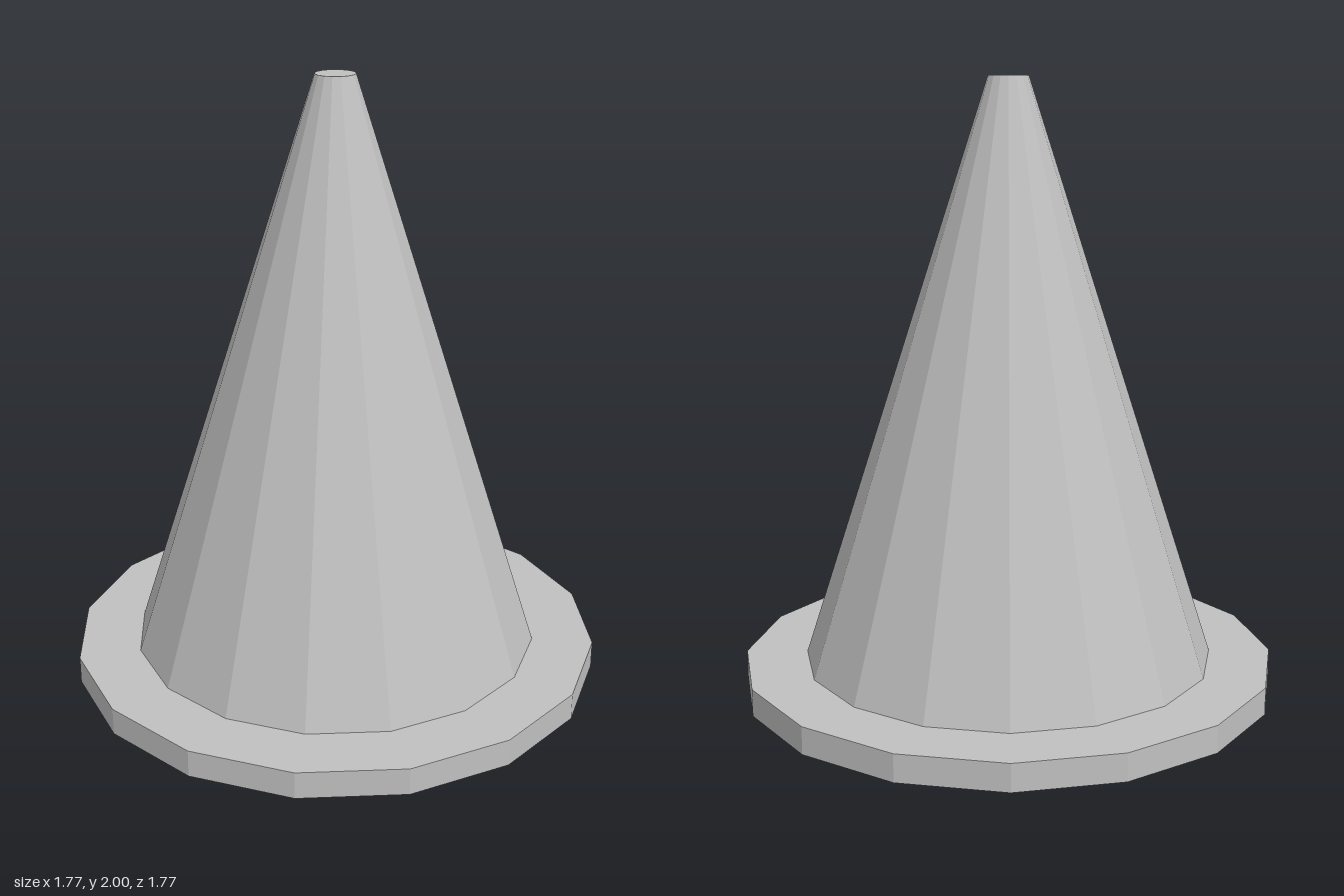
import * as THREE from 'three';

const SIDES = 16;
const BASE_HEIGHT = 0.09;
const TOTAL_HEIGHT = 2;

export function createModel() {
  const group = new THREE.Group();
  group.name = 'trafficCone';

  const grey = new THREE.MeshStandardMaterial({ color: 0xc0c0c0, flatShading: true });
  grey.name = 'plain grey';

  // Adds a tapered 16-sided section standing between two heights
  const addSection = (name, topRadius, bottomRadius, y0, y1) => {
    const geometry = new THREE.CylinderGeometry(topRadius, bottomRadius, y1 - y0, SIDES);
    const mesh = new THREE.Mesh(geometry, grey);
    mesh.name = name;
    mesh.position.y = (y0 + y1) / 2;
    group.add(mesh);
  };

  // Flat foot plate
  addSection('base', 0.883, 0.883, 0, BASE_HEIGHT);
  // Tall body with a small flat tip
  addSection('coneBody', 0.065, 0.679, BASE_HEIGHT, TOTAL_HEIGHT);

  return group;
}
